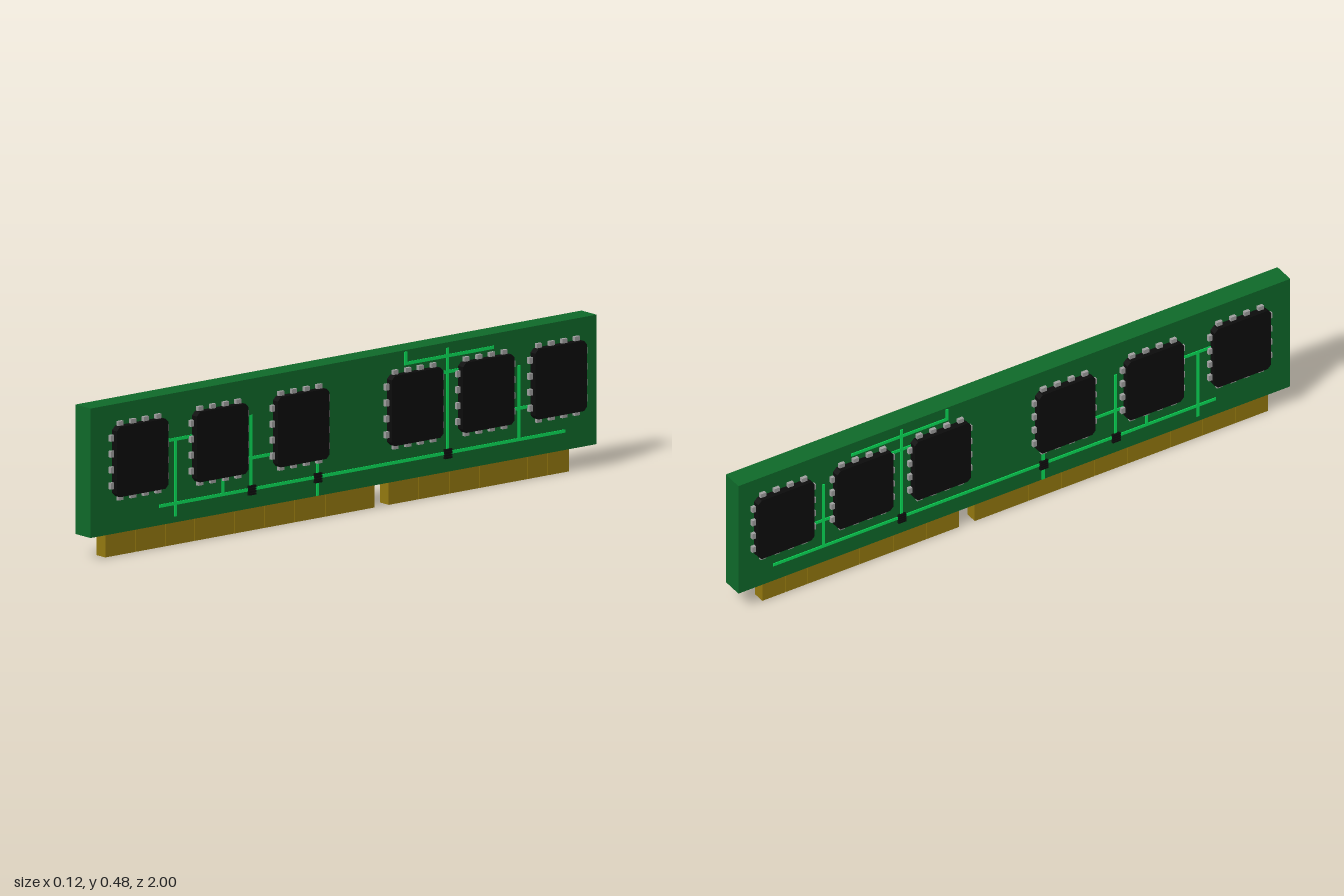
import * as THREE from 'three';

const mat = (color) => new THREE.MeshStandardMaterial({ color });
const green = mat(0x0f6a2a), bright = mat(0x08e25a), gold = mat(0x94790f);
const black = mat(0x0c0c0c), silver = mat(0xa0a0a0);

const FACE = 0.036; // half thickness of the board

// Box given by its limits on each axis
function box(name, material, [x0, x1], [y0, y1], [z0, z1]) {
  const mesh = new THREE.Mesh(new THREE.BoxGeometry(x1 - x0, y1 - y0, z1 - z0), material);
  mesh.position.set((x0 + x1) / 2, (y0 + y1) / 2, (z0 + z1) / 2);
  mesh.name = name;
  return mesh;
}

// Memory chip: slab with clipped corners and four pins on every edge
function chip(side) {
  const group = new THREE.Group();
  group.name = 'chip';
  const w = 0.102, h = 0.11, c = 0.012;
  const outline = new THREE.Shape([
    [-w + c, -h], [w - c, -h], [w, -h + c], [w, h - c],
    [w - c, h], [-w + c, h], [-w, h - c], [-w, -h + c],
  ].map(([x, y]) => new THREE.Vector2(x, y)));
  const geometry = new THREE.ExtrudeGeometry(outline, { depth: 0.024, bevelEnabled: false });
  geometry.rotateY(side * Math.PI / 2);
  const body = new THREE.Mesh(geometry, black);
  body.name = 'chipBody';
  body.position.x = side * FACE;
  group.add(body);

  const px = side > 0 ? [FACE, 0.047] : [-0.047, -FACE];
  for (let i = 0; i < 4; i++) {
    const t = (i - 1.5) * 0.05;
    for (const e of [-1, 1]) {
      const z = e * (w + 0.002), y = e * (h + 0.002);
      group.add(box('chipPin', silver, px, [t - 0.01, t + 0.01], [z - 0.011, z + 0.011]));
      group.add(box('chipPin', silver, px, [y - 0.012, y + 0.012], [t - 0.01, t + 0.01]));
    }
  }
  return group;
}

// Tiny ribbed component sitting on the main trace
function smallComponent(side) {
  const group = new THREE.Group();
  group.name = 'smallComponent';
  const xs = (a, b) => (side > 0 ? [a, b] : [-b, -a]);
  group.add(box('componentCore', black, xs(FACE, 0.04), [-0.014, 0.014], [-0.013, 0.013]));
  for (let i = 0; i < 4; i++) {
    const y = (i - 1.5) * 0.008;
    group.add(box('componentRib', black, xs(FACE, 0.045), [y - 0.003, y + 0.003], [-0.014, 0.014]));
  }
  return group;
}

export function createModel() {
  const model = new THREE.Group();
  model.name = 'memoryModule';

  model.add(box('board', green, [-FACE, FACE], [0.074, 0.48], [-1, 1]));

  // Edge contacts in two rows with the key notch between them
  const rows = [
    [0.93, 0.81, 0.69, 0.575, 0.42, 0.3, 0.18, 0.06, -0.135],
    [-0.19, -0.31, -0.43, -0.55, -0.74, -0.82, -0.905],
  ];
  for (const row of rows) {
    for (let i = 0; i < row.length - 1; i++) {
      model.add(box('edgeContact', gold, [-0.021, 0.021], [0, 0.076], [row[i + 1] + 0.001, row[i] - 0.001]));
    }
  }

  // Traces as [z start, y start, z end, y end]
  const traces = [
    [-0.87, 0.134, 0.725, 0.134],
    [0.665, 0.098, 0.665, 0.335],
    [0.6, 0.335, 0.715, 0.335],
    [0.478, 0.134, 0.478, 0.21],
    [0.366, 0.134, 0.366, 0.362],
    [0.28, 0.232, 0.4, 0.232],
    [0.104, 0.08, 0.104, 0.21],
    [-0.41, 0.134, -0.41, 0.458],
    [-0.693, 0.134, -0.693, 0.362],
    [-0.74, 0.232, -0.65, 0.232],
    [-0.45, 0.388, -0.37, 0.388],
    [-0.587, 0.438, -0.245, 0.438],
    [-0.245, 0.438, -0.245, 0.47],
  ];
  const r = 0.005; // half width of a trace

  // Both faces carry the same parts, mirrored
  for (const side of [1, -1]) {
    const face = new THREE.Group();
    face.name = side > 0 ? 'leftFace' : 'rightFace';
    for (const z of [-0.841, -0.555, -0.274, 0.177, 0.497, 0.813]) {
      const c = chip(side);
      c.position.set(0, 0.302, z);
      face.add(c);
    }
    for (const z of [0.366, 0.104, -0.41]) {
      const s = smallComponent(side);
      s.position.set(0, 0.132, z);
      face.add(s);
    }
    const tx = side > 0 ? [0.034, 0.0385] : [-0.0385, -0.034];
    for (const [z0, y0, z1, y1] of traces) {
      face.add(box('trace', bright, tx, [y0 - r, y1 + r], [z0 - r, z1 + r]));
    }
    model.add(face);
  }
  return model;
}
